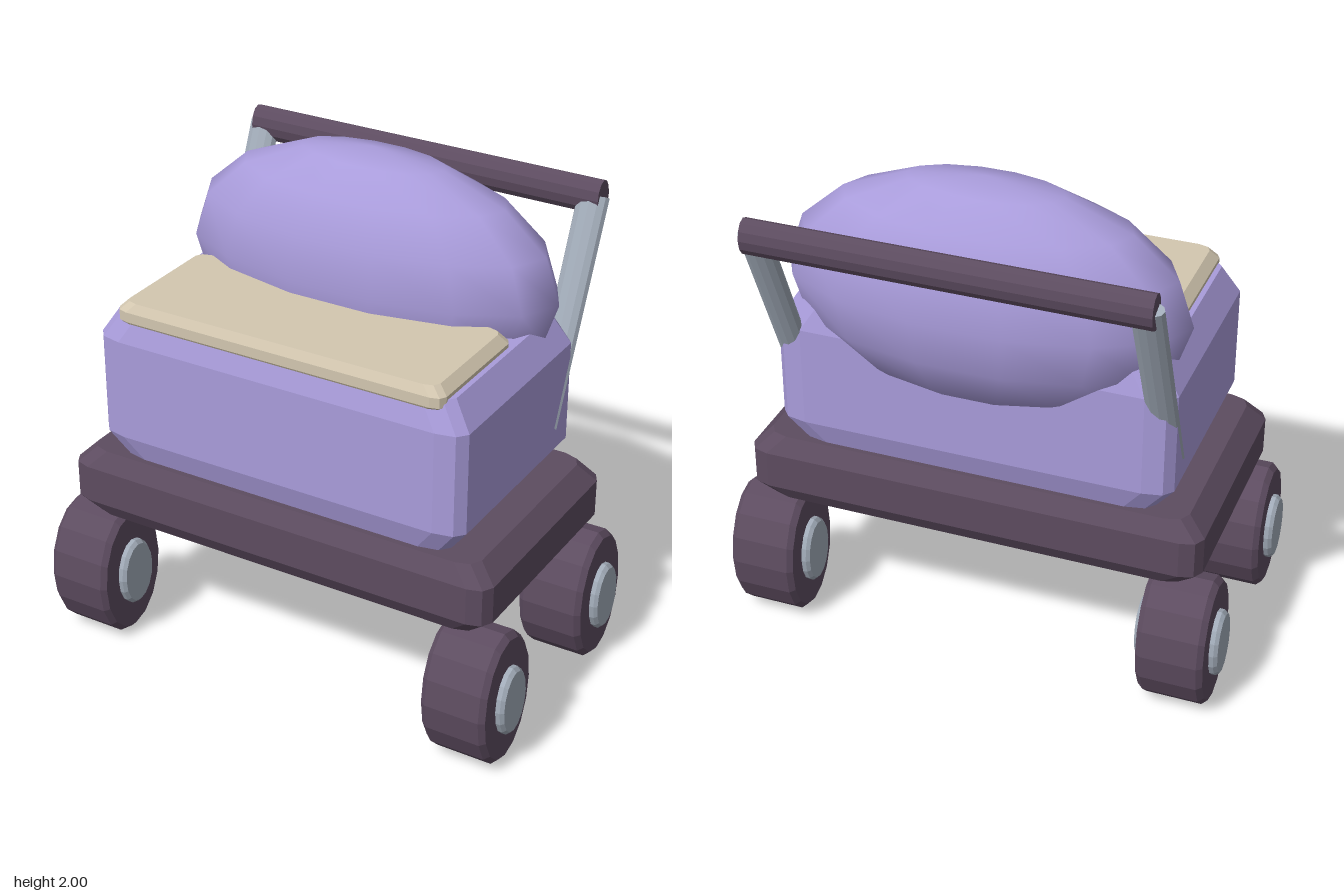
import * as THREE from 'three';
import { ConvexGeometry } from 'three/addons/geometries/ConvexGeometry.js';

export function createModel() {
  const model = new THREE.Group();
  const mat = (name, color) => {
    const m = new THREE.MeshStandardMaterial({ color });
    m.name = name;
    return m;
  };
  const lilac = mat('lilac fabric', 0xa99cdb);
  const plum = mat('dark plum', 0x5d4c60);
  const cream = mat('cream blanket', 0xd3c7b0);
  const steel = mat('steel grey', 0xa1abb8);

  const add = (name, geometry, material, parent = model) => {
    const mesh = new THREE.Mesh(geometry, material);
    mesh.name = name;
    parent.add(mesh);
    return mesh;
  };
  // Faceted normals
  const flat = (geometry) => {
    const g = geometry.toNonIndexed();
    g.computeVertexNormals();
    return g;
  };

  // Bevelled block from rings [y, halfX, halfZ] with two-step rounded corners
  const block = (rings, rx, rz, cz) => {
    const points = [];
    for (const [y, hx, hz] of rings)
      for (const sx of [-1, 1])
        for (const sz of [-1, 1])
          for (let i = 0; i <= 2; i++) {
            const a = (i * Math.PI) / 4;
            points.push(new THREE.Vector3(
              sx * (hx - rx + rx * Math.cos(a)), y,
              cz + sz * (hz - rz + rz * Math.sin(a))));
          }
    return new ConvexGeometry(points);
  };

  // Body
  add('chassis', block([
    [0.545, 0.84, 0.45], [0.61, 0.91, 0.488], [0.76, 0.91, 0.488], [0.83, 0.84, 0.45],
  ], 0.08, 0.06, 0.065), plum);
  add('tub', block([
    [0.82, 0.7, 0.425], [0.925, 0.78, 0.458], [1.33, 0.78, 0.458], [1.44, 0.71, 0.428],
  ], 0.11, 0.055, 0.063), lilac);
  add('blanket', block([
    [1.385, 0.655, 0.25], [1.415, 0.69, 0.268], [1.455, 0.69, 0.268], [1.49, 0.655, 0.25],
  ], 0.05, 0.035, 0.237), cream);

  // Hood
  const hood = add('hood', new THREE.SphereGeometry(1, 14, 8), lilac);
  hood.scale.set(0.785, 0.46, 0.333);
  hood.position.set(0, 1.54, -0.205);

  // Push handle: two oval arms and a crossbar
  const low = new THREE.Vector3(0, 1.01, -0.24);
  const high = new THREE.Vector3(0, 1.82, -0.595);
  const along = high.clone().sub(low);
  for (const side of [-1, 1]) {
    const geo = flat(new THREE.CylinderGeometry(1, 0.95, along.length(), 12)
      .rotateY(Math.PI / 2).scale(0.064, 1, 0.036));
    const arm = add(side > 0 ? 'leftArm' : 'rightArm', geo, steel);
    arm.rotation.x = Math.atan2(along.z, along.y);
    arm.position.copy(low).add(high).multiplyScalar(0.5);
    arm.position.x = side * 0.724;
  }
  add('handleBar', flat(new THREE.CylinderGeometry(1, 1, 1.52, 12)
    .rotateZ(Math.PI / 2).scale(1, 0.07, 0.049)), plum).position.set(0, 1.815, -0.6);

  // Wheels: bevelled discs turned about x
  const disc = (half, ry, rz, bevel) => {
    const k = 1 - bevel / ry;
    const profile = [[0, -half], [k, -half], [1, bevel - half], [1, half - bevel], [k, half], [0, half]]
      .map(([r, y]) => new THREE.Vector2(r, y));
    return flat(new THREE.LatheGeometry(profile, 16).rotateZ(Math.PI / 2).scale(1, ry, rz));
  };
  const tyreGeo = disc(0.131, 0.2775, 0.19, 0.022);
  const hubGeo = disc(0.163, 0.142, 0.096, 0.014);
  for (const side of [-1, 1])
    for (const z of [0.463, -0.33]) {
      const wheel = new THREE.Group();
      wheel.name = (z > 0 ? 'front' : 'back') + (side > 0 ? 'LeftWheel' : 'RightWheel');
      wheel.position.set(side * 0.836, 0.2775, z);
      add('tyre', tyreGeo, plum, wheel);
      add('hub', hubGeo, steel, wheel);
      model.add(wheel);
    }
  return model;
}
